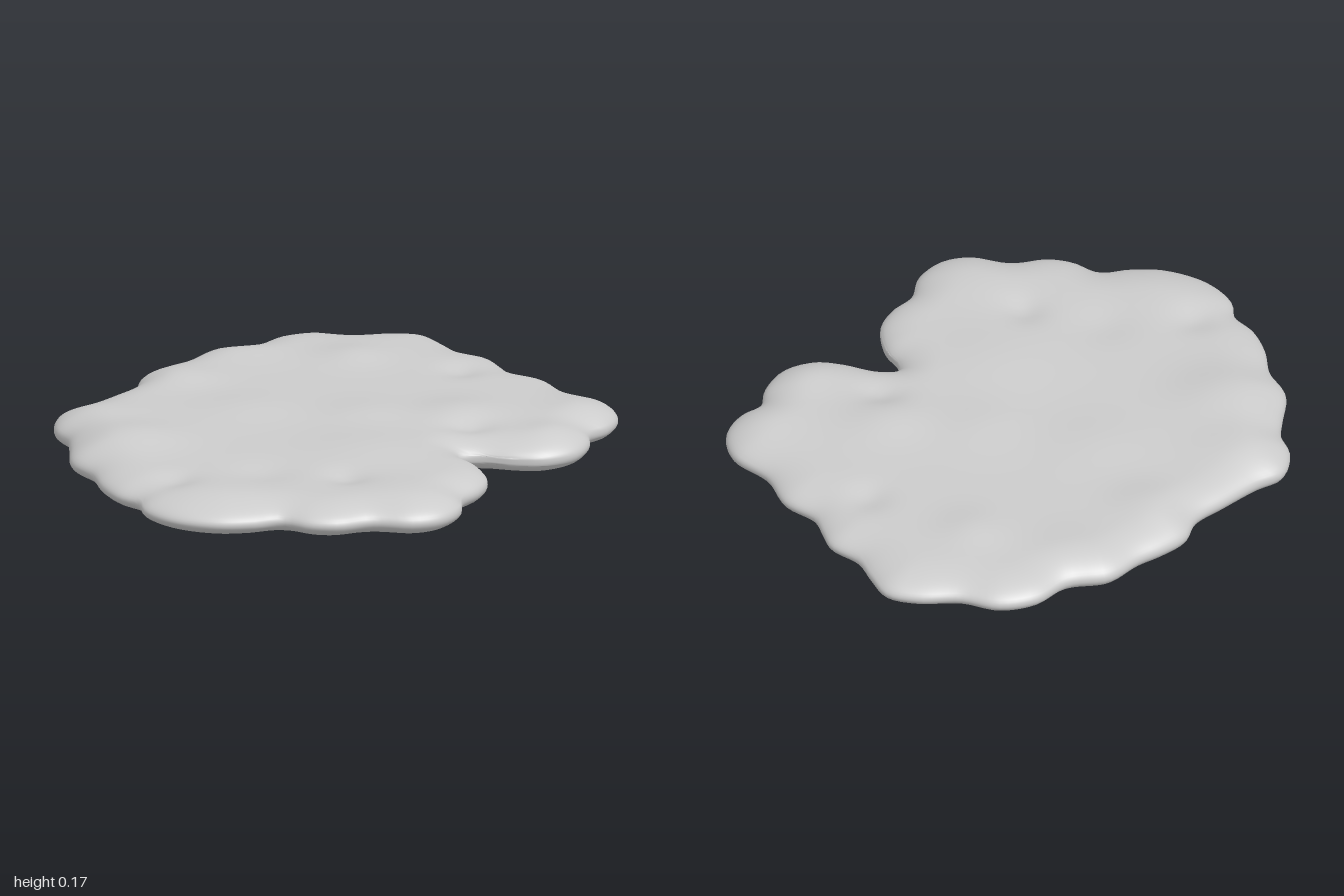
import * as THREE from 'three';

// Scalloped rim as x, z pairs, starting at the back and passing the +x side
const RIM = [
  -0.32, -1.0, -0.22, -0.97, -0.12, -0.93, 0, -0.935, 0.07, -0.9, 0.15, -0.86, 0.28, -0.865,
  0.42, -0.805, 0.58, -0.8, 0.68, -0.73, 0.715, -0.63, 0.705, -0.54, 0.76, -0.46, 0.785, -0.35,
  0.74, -0.24, 0.66, -0.18, 0.55, -0.13, 0.505, -0.08, 0.54, -0.045, 0.62, -0.02, 0.72, 0.06,
  0.755, 0.15, 0.76, 0.25, 0.82, 0.35, 0.825, 0.46, 0.77, 0.55, 0.65, 0.62, 0.58, 0.72,
  0.5, 0.77, 0.4, 0.79, 0.34, 0.87, 0.25, 0.95, 0.1, 1.0, -0.03, 0.98, -0.1, 0.925,
  -0.2, 0.91, -0.3, 0.86, -0.4, 0.78, -0.52, 0.73, -0.61, 0.62, -0.67, 0.55, -0.76, 0.5,
  -0.82, 0.4, -0.8, 0.3, -0.79, 0.15, -0.785, 0.02, -0.83, -0.08, -0.825, -0.18, -0.805, -0.28,
  -0.8, -0.42, -0.72, -0.54, -0.71, -0.68, -0.64, -0.79, -0.52, -0.85, -0.42, -0.95,
];

// Soft mounds and dips: x, z, radius, height
const TOP_BUMPS = [
  [-0.42, 0.53, 0.16, 0.03], [-0.65, 0.38, 0.13, 0.018], [-0.66, -0.08, 0.12, 0.02],
  [-0.66, -0.42, 0.13, 0.012], [-0.33, -0.6, 0.11, 0.018], [0.3, -0.35, 0.13, 0.02],
  [0.05, -0.15, 0.14, 0.012], [0.28, 0.15, 0.2, 0.015], [-0.3, 0.05, 0.16, 0.012],
  [0.62, 0.42, 0.14, 0.012], [0.14, 0.8, 0.14, 0.01], [0.6, -0.62, 0.12, 0.012],
  [0.66, -0.36, 0.1, 0.012], [0.42, -0.25, 0.07, -0.02], [0.05, -0.7, 0.07, -0.018],
  [0.4, 0.42, 0.07, -0.02], [-0.05, 0.78, 0.07, -0.018], [0.15, 0.55, 0.1, -0.012],
];
const BOTTOM_BUMPS = [
  [-0.25, 0.02, 0.2, 0.02], [0.2, 0.3, 0.18, 0.014], [-0.45, 0.4, 0.14, 0.012],
  [0.1, -0.4, 0.16, 0.012], [-0.4, -0.5, 0.14, 0.014], [0.5, -0.55, 0.12, 0.012],
  [0.55, 0.3, 0.12, 0.01], [0.1, 0.75, 0.13, 0.012], [0.35, -0.2, 0.08, -0.014],
  [-0.1, -0.65, 0.08, -0.014], [-0.15, 0.4, 0.08, -0.012], [-0.6, 0.05, 0.1, -0.01],
];

const relief = (bumps, x, z) => bumps.reduce((sum, [bx, bz, r, h]) =>
  sum + h * Math.exp(-((x - bx) ** 2 + (z - bz) ** 2) / (r * r)), 0);

function slabGeometry() {
  const points = [];
  for (let i = 0; i < RIM.length; i += 2) points.push(new THREE.Vector3(RIM[i], 0, RIM[i + 1]));
  const step = 4, around = 240, rings = 64;
  const rim = new THREE.CatmullRomCurve3(points, true).getSpacedPoints(around * step);

  const position = [], index = [];
  // Rings run from the top centre out over the rim and back to the bottom centre
  for (let i = 0; i <= rings; i++) {
    const t = Math.PI * i / rings;
    const scale = Math.sin(t), top = i <= rings / 2;
    for (let j = 0; j < around; j++) {
      const x = rim[j * step].x * scale, z = rim[j * step].z * scale;
      let d2 = Infinity;
      for (const p of rim) d2 = Math.min(d2, (p.x - x) ** 2 + (p.z - z) ** 2);
      // Rounded edge: elliptical rise over a width that grows toward both ends
      const width = 0.14 + 0.07 * z * z;
      const inset = 1 - Math.min(1, Math.sqrt(d2) / width);
      const rise = i === rings / 2 ? 0 : Math.sqrt(1 - inset * inset);
      const height = 0.062 + relief(top ? TOP_BUMPS : BOTTOM_BUMPS, x, z);
      position.push(x, 0.088 + (top ? 1 : -1) * rise * height, z);
    }
  }
  for (let i = 0; i < rings; i++) {
    for (let j = 0; j < around; j++) {
      const k = (j + 1) % around;
      const a = i * around + j, b = i * around + k, c = a + around, d = b + around;
      if (i > 0) index.push(a, b, c);
      if (i < rings - 1) index.push(b, d, c);
    }
  }
  const geometry = new THREE.BufferGeometry();
  geometry.setAttribute('position', new THREE.Float32BufferAttribute(position, 3));
  geometry.setIndex(index);
  geometry.computeBoundingBox();
  geometry.translate(0, -geometry.boundingBox.min.y, 0);
  geometry.computeVertexNormals();
  // The coincident centre points share one straight normal
  const normal = geometry.attributes.normal;
  for (let j = 0; j < around; j++) {
    normal.setXYZ(j, 0, 1, 0);
    normal.setXYZ(rings * around + j, 0, -1, 0);
  }
  return geometry;
}

export function createModel() {
  const model = new THREE.Group();
  model.name = 'lumpySlab';
  const slab = new THREE.Mesh(slabGeometry(), new THREE.MeshStandardMaterial({ color: 0xcccccc }));
  slab.name = 'slab';
  model.add(slab);
  return model;
}
